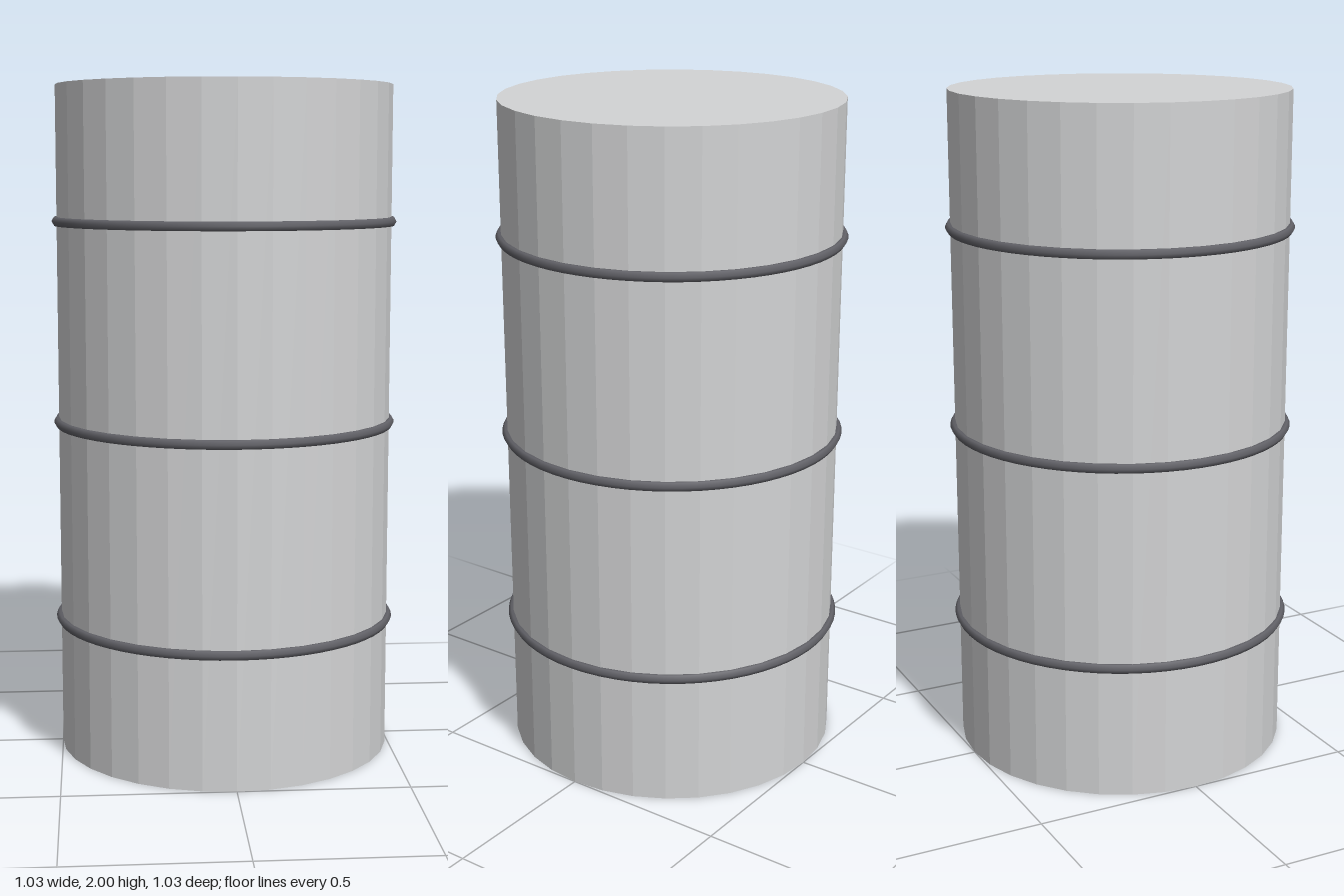
import * as THREE from 'three';

export function createModel() {
  const model = new THREE.Group();
  const steel = new THREE.MeshStandardMaterial({ color: 0xd3d4d5 });
  steel.name = 'light grey steel';
  steel.flatShading = true;
  const dark = new THREE.MeshStandardMaterial({ color: 0x626268 });
  dark.name = 'dark steel';

  // Closed faceted drum
  const drum = new THREE.Mesh(new THREE.CylinderGeometry(0.5, 0.5, 2, 32), steel);
  drum.name = 'drumBody';
  drum.position.y = 1;
  model.add(drum);

  // Three evenly spaced hoops
  const hoopGeometry = new THREE.TorusGeometry(0.5, 0.015, 6, 64).rotateX(Math.PI / 2);
  ['lowerHoop', 'middleHoop', 'upperHoop'].forEach((name, i) => {
    const hoop = new THREE.Mesh(hoopGeometry, dark);
    hoop.name = name;
    hoop.position.y = 0.4 + i * 0.6;
    model.add(hoop);
  });

  return model;
}
